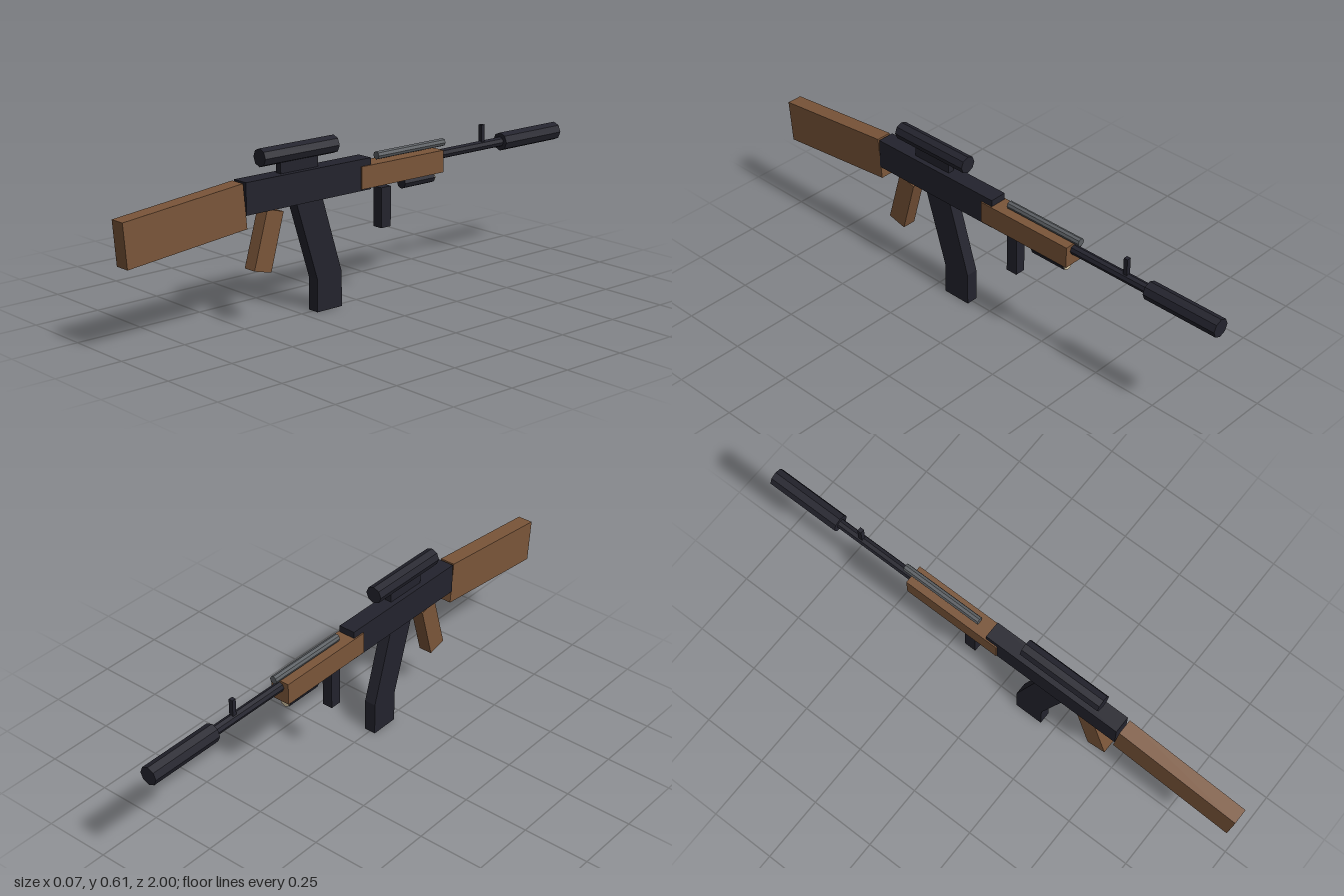
import * as THREE from 'three';

export function createModel() {
  const model = new THREE.Group();
  const mat = (name, color) => {
    const m = new THREE.MeshStandardMaterial({ color, flatShading: true });
    m.name = name;
    return m;
  };
  const wood = mat('wood', 0x7a5539);
  const dark = mat('darkMetal', 0x23232d);
  const grey = mat('greyMetal', 0x5c6064);
  const cream = mat('lensCream', 0xcfc2a2);

  const add = (name, geometry, material) => {
    const mesh = new THREE.Mesh(geometry, material);
    mesh.name = name;
    model.add(mesh);
    return mesh;
  };

  // Side outline of [z, y] corners, extruded evenly about x = 0
  const slab = (name, points, width, material) => {
    const shape = new THREE.Shape(points.map(([z, y]) => new THREE.Vector2(z, y)));
    const g = new THREE.ExtrudeGeometry(shape, { depth: width, bevelEnabled: false });
    g.translate(0, 0, -width / 2).rotateY(-Math.PI / 2);
    return add(name, g, material);
  };

  // Upright block between two z and two y limits
  const block = (name, z0, z1, y0, y1, width, material) => {
    const g = new THREE.BoxGeometry(width, y1 - y0, z1 - z0);
    g.translate(0, (y0 + y1) / 2, (z0 + z1) / 2);
    return add(name, g, material);
  };

  // Eight-sided tube along z
  const tube = (name, z0, z1, y, radius, material) => {
    const g = new THREE.CylinderGeometry(radius, radius, z1 - z0, 8);
    g.rotateX(Math.PI / 2).translate(0, y, (z0 + z1) / 2);
    return add(name, g, material);
  };

  // Wooden furniture
  slab('stock', [[1, 0.462], [0.52, 0.51], [0.505, 0.353], [0.986, 0.305]], 0.058, wood);
  slab('rearGrip', [[0.417, 0.404], [0.347, 0.386], [0.403, 0.183], [0.475, 0.201]], 0.052, wood);
  block('handguard', -0.384, 0.007, 0.406, 0.487, 0.074, wood);

  // Body and magazine
  block('receiver', -0.04, 0.51, 0.4, 0.512, 0.064, dark);
  slab('magazine', [[0.29, 0.41], [0.175, 0.41], [0.087, 0.125], [0.087, 0],
    [0.198, 0], [0.198, 0.12]], 0.045, dark);

  // Barrel group
  tube('barrel', -0.72, -0.3, 0.464, 0.018, dark);
  tube('muzzleTube', -1, -0.709, 0.464, 0.034, dark);
  block('frontSight', -0.62, -0.604, 0.47, 0.542, 0.016, dark);
  tube('gasTube', -0.415, -0.093, 0.506, 0.0145, grey);

  // Scope on its mount
  tube('scope', 0.103, 0.427, 0.577, 0.032, dark);
  block('scopeMount', 0.184, 0.347, 0.512, 0.56, 0.025, dark);

  // Parts under the handguard
  block('foregrip', -0.145, -0.1, 0.246, 0.392, 0.04, dark);
  tube('lamp', -0.357, -0.213, 0.389, 0.022, dark);
  tube('lampLens', -0.362, -0.357, 0.389, 0.02, cream);

  return model;
}
